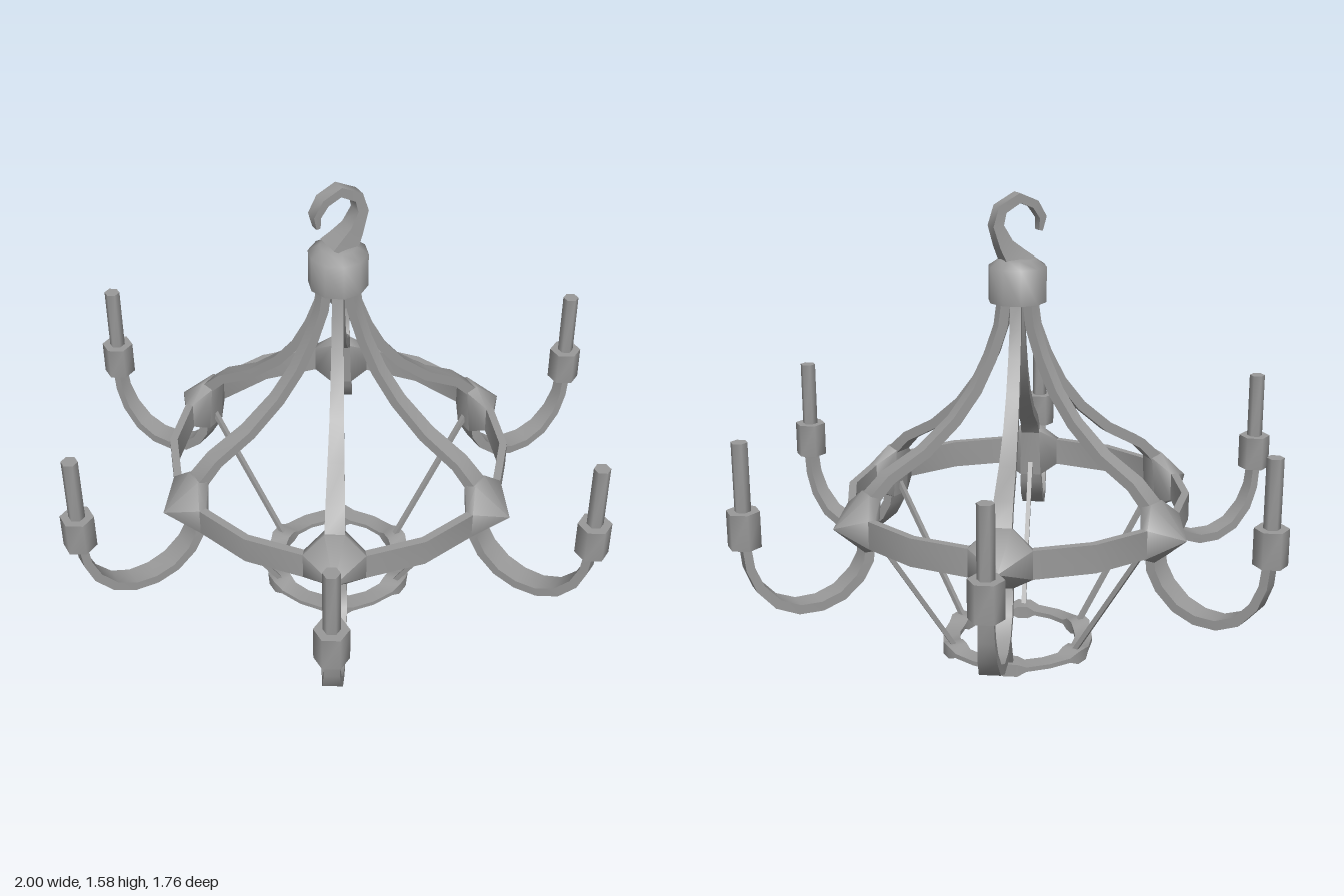
import * as THREE from 'three';
import { toCreasedNormals } from 'three/addons/utils/BufferGeometryUtils.js';
import { ConvexGeometry } from 'three/addons/geometries/ConvexGeometry.js';

const material = new THREE.MeshStandardMaterial({ color: 0x999999 });
const CREASE = 1.2;
const RAD = Math.PI / 180;

function mesh(name, geometry, parent) {
  const m = new THREE.Mesh(toCreasedNormals(geometry, CREASE), material);
  m.name = name;
  parent.add(m);
  return m;
}

// Skin a row of four-cornered sections, either as a closed loop or with end caps.
function loft(sections, closed) {
  const pos = sections.flat(2);
  const index = [];
  const n = sections.length;
  for (let i = 0; i < (closed ? n : n - 1); i++) {
    const p = i * 4, q = ((i + 1) % n) * 4;
    for (let j = 0; j < 4; j++) {
      const k = (j + 1) % 4;
      index.push(p + j, p + k, q + k, p + j, q + k, q + j);
    }
  }
  if (!closed) {
    const e = (n - 1) * 4;
    index.push(0, 2, 1, 0, 3, 2, e, e + 1, e + 2, e, e + 2, e + 3);
  }
  const g = new THREE.BufferGeometry();
  g.setAttribute('position', new THREE.Float32BufferAttribute(pos, 3));
  g.setIndex(index);
  return g;
}

// Flat bar along a path in the xy plane; each stop is [x, y, thickness, width].
function bar(stops) {
  return loft(stops.map(([x, y, t, w], i) => {
    const a = stops[Math.max(i - 1, 0)], b = stops[Math.min(i + 1, stops.length - 1)];
    const d = new THREE.Vector2(b[0] - a[0], b[1] - a[1]).normalize();
    const nx = -d.y * t / 2, ny = d.x * t / 2, h = w / 2;
    return [[x + nx, y + ny, h], [x - nx, y - ny, h], [x - nx, y - ny, -h], [x + nx, y + ny, -h]];
  }), false);
}

// Horizontal band; each stop is [angle in degrees, bottom, top, inner radius, outer radius].
function band(stops) {
  return loft(stops.map(([deg, y0, y1, inner, outer]) => {
    const c = Math.cos(deg * RAD), s = Math.sin(deg * RAD);
    return [[outer, y1], [inner, y1], [inner, y0], [outer, y0]].map(([r, y]) => [r * c, y, r * s]);
  }), true);
}

export function createModel() {
  const model = new THREE.Group();
  model.name = 'chandelier';

  // Main ring, 18 sided
  const ringStops = [];
  for (let i = 0; i < 18; i++) ringStops.push([10 + i * 20, 0.485, 0.58, 0.556, 0.582]);
  mesh('mainRing', band(ringStops), model);

  // Small lower ring, thickened where each rod lands
  const lowStops = [];
  for (let i = 0; i < 6; i++) {
    for (const [d, h, r] of [[-12, 0.008, 0.265], [-5, 0.022, 0.272], [5, 0.022, 0.272], [12, 0.008, 0.265], [30, 0.008, 0.262]]) {
      lowStops.push([i * 60 + d, 0.025 - h, 0.025 + h, 0.203, r]);
    }
  }
  mesh('lowerRing', band(lowStops), model);

  // Cap with a bevelled top
  const profile = [[0, 1.23], [0.097, 1.23], [0.097, 1.347], [0.06, 1.372], [0, 1.38]]
    .map(([x, y]) => new THREE.Vector2(x, y));
  mesh('cap', new THREE.LatheGeometry(profile, 10, Math.PI / 2), model);

  // Hanging hook
  mesh('hook', bar([
    [0.0, 1.355, 0.1, 0.088], [0.022, 1.385, 0.075, 0.072], [0.052, 1.425, 0.05, 0.058],
    [0.077, 1.485, 0.037, 0.048], [0.062, 1.537, 0.034, 0.045], [0.0, 1.571, 0.032, 0.045],
    [-0.055, 1.547, 0.029, 0.045], [-0.083, 1.503, 0.025, 0.04], [-0.077, 1.46, 0.014, 0.03],
  ]), model);

  // Six identical spokes
  for (let i = 0; i < 6; i++) {
    const spoke = new THREE.Group();
    spoke.name = 'spoke' + (i + 1);
    spoke.rotation.y = i * Math.PI / 3;
    model.add(spoke);

    mesh('upperStrap', bar([
      [0.048, 1.25, 0.034, 0.036], [0.062, 1.15, 0.034, 0.038], [0.1, 1.05, 0.034, 0.04],
      [0.155, 0.945, 0.034, 0.043], [0.23, 0.85, 0.034, 0.047], [0.34, 0.755, 0.034, 0.055],
      [0.465, 0.685, 0.034, 0.062], [0.525, 0.625, 0.038, 0.066], [0.555, 0.56, 0.034, 0.066],
    ]), spoke);

    mesh('candleArm', bar([
      [0.542, 0.5, 0.034, 0.07], [0.553, 0.42, 0.034, 0.078], [0.585, 0.365, 0.033, 0.08],
      [0.645, 0.313, 0.032, 0.08], [0.715, 0.288, 0.032, 0.077], [0.79, 0.288, 0.032, 0.072],
      [0.86, 0.318, 0.032, 0.065], [0.915, 0.38, 0.031, 0.057], [0.943, 0.45, 0.029, 0.05],
      [0.952, 0.53, 0.028, 0.046],
    ]), spoke);

    // Pointed joint where strap, arm and ring meet
    const joint = [new THREE.Vector3(0.66, 0.533, 0)];
    for (const s of [-1, 1]) {
      for (const [x, y, z] of [
        [0.573, 0.58, 0.101], [0.573, 0.485, 0.101], [0.548, 0.58, 0.097], [0.548, 0.485, 0.097],
        [0.505, 0.625, 0.033], [0.545, 0.64, 0.033], [0.52, 0.45, 0.038], [0.565, 0.45, 0.038],
      ]) joint.push(new THREE.Vector3(x, y, z * s));
    }
    mesh('joint', new ConvexGeometry(joint), spoke);

    // Cup and candle
    mesh('candleCup', new THREE.CylinderGeometry(0.055, 0.055, 0.12, 6), spoke).position.set(0.952, 0.583, 0);
    mesh('candle', new THREE.CylinderGeometry(0.027, 0.027, 0.24, 6), spoke).position.set(0.952, 0.75, 0);

    // Thin rod down to the lower ring
    mesh('lowerRod', bar([[0.535, 0.515, 0.016, 0.016], [0.235, 0.03, 0.016, 0.016]]), spoke);
  }
  return model;
}
